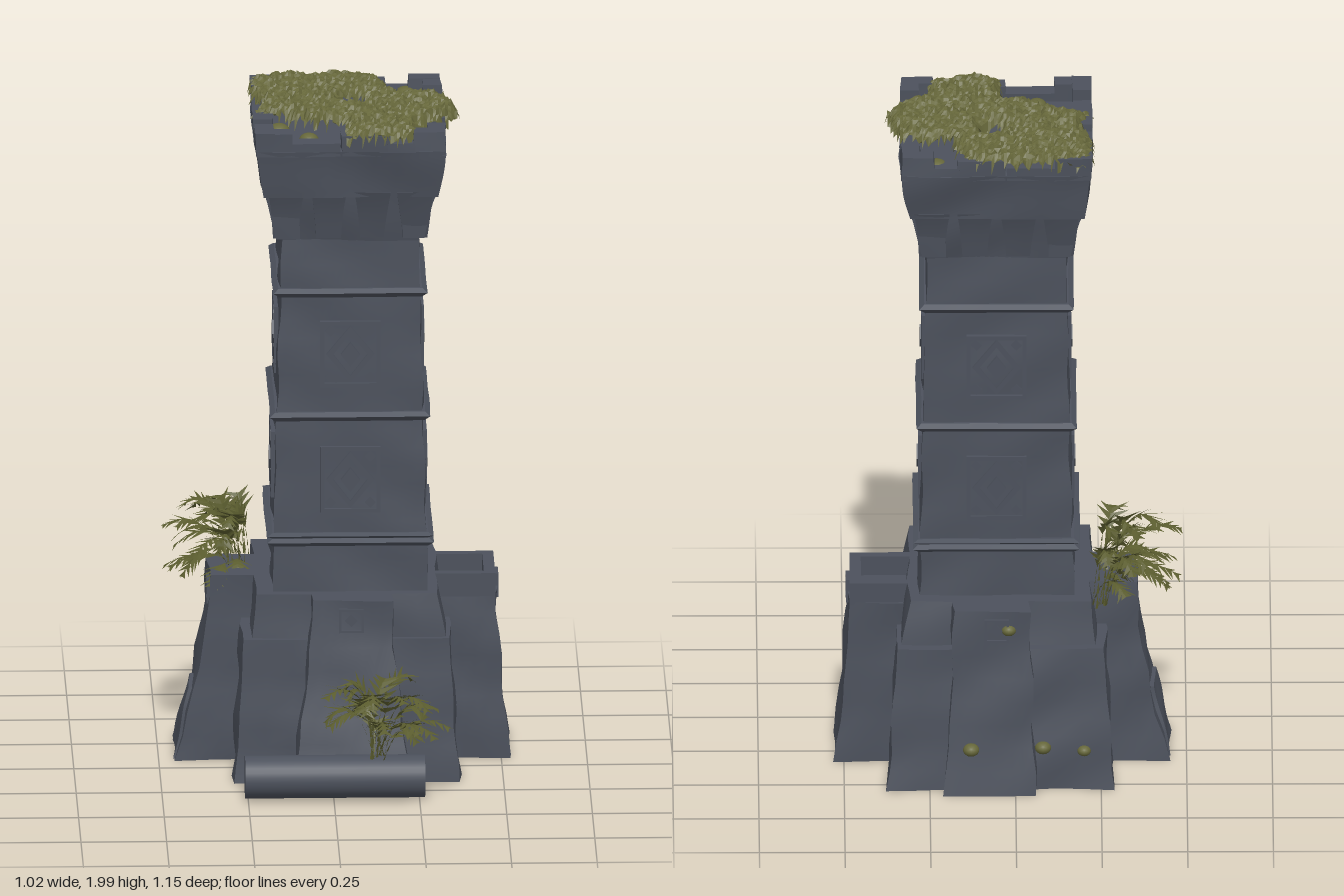
import * as THREE from 'three';
import { mergeGeometries } from 'three/addons/utils/BufferGeometryUtils.js';

const mat = (name, color, side = THREE.FrontSide) => {
  const m = new THREE.MeshStandardMaterial({ color, side });
  m.name = name;
  return m;
};
const CX = 0.055, CZ = -0.158; // tower axis
const lerp = THREE.MathUtils.lerp;

function seeded(s) {
  return () => ((s = (s * 16807) % 2147483647) - 1) / 2147483646;
}
// smooth wobble that weathers the masonry
const wobble = (x, y, z) =>
  Math.sin(x * 19 + y * 13 + 1) * Math.sin(z * 21 - y * 9) + 0.6 * Math.sin(y * 27 + x * 8 - z * 11);

// tapered block: rects are [x0, x1, z0, z1] at bottom and top
function block(y0, y1, b, t = b, { seg = 8, flare = 1, wear = 0.004 } = {}) {
  const g = new THREE.BoxGeometry(1, 1, 1, seg, seg, seg);
  const p = g.attributes.position;
  for (let i = 0; i < p.count; i++) {
    const u = p.getX(i) + 0.5, v = p.getY(i) + 0.5, w = p.getZ(i) + 0.5;
    const k = 1 - Math.pow(1 - v, flare);
    const r = b.map((a, j) => lerp(a, t[j], k));
    const x = lerp(r[0], r[1], u), y = lerp(y0, y1, v), z = lerp(r[2], r[3], w);
    const n = wear * wobble(x, y, z);
    p.setXYZ(i, x + n * (u - 0.5) * 2, y, z + n * (w - 0.5) * 2);
  }
  g.computeVertexNormals();
  return g;
}
const rect = (hx, hz) => [CX - hx, CX + hx, CZ - hz, CZ + hz];

// flat polygon ring or plate, n corners given by half sizes
const outline = (C, w, h, diamond) => {
  const s = new C();
  const pts = diamond ? [[w, 0], [0, h], [-w, 0], [0, -h]] : [[w, h], [-w, h], [-w, -h], [w, -h]];
  s.setFromPoints(pts.map(([x, y]) => new THREE.Vector2(x, y)));
  return s;
};
function ring(w, h, t, diamond, depth = 0.016) {
  const s = outline(THREE.Shape, w, h, diamond);
  if (t > 0) s.holes.push(outline(THREE.Path, w - t, h - t, diamond));
  return new THREE.ExtrudeGeometry(s, { depth, bevelEnabled: false });
}

// spiky frond along a drooping arc
function frond(out, a, b, c, rnd) {
  const curve = new THREE.QuadraticBezierCurve3(a, b, c);
  const N = 11, up = new THREE.Vector3(0, 1, 0);
  const tri = (...v) => v.forEach(q => out.push(q.x, q.y, q.z));
  for (let i = 0; i < N; i++) {
    const t = i / N, p = curve.getPoint(t), q = curve.getPoint((i + 1) / N);
    const tan = curve.getTangent(t + 0.5 / N);
    const side = new THREE.Vector3().crossVectors(tan, up).normalize();
    const w = side.clone().multiplyScalar(0.004);
    tri(p.clone().sub(w), p.clone().add(w), q);
    if (t < 0.3) continue;
    const len = 0.062 * Math.sin(Math.PI * (0.25 + 0.68 * (t - 0.3) / 0.7)) * (0.8 + 0.4 * rnd());
    for (const s of [-1, 1]) {
      const tip = p.clone().addScaledVector(side, s * len * 0.72).addScaledVector(tan, len * 0.85);
      tip.y -= len * 0.3 * rnd();
      tri(p, tip, p.clone().addScaledVector(tan, 0.022));
    }
  }
}
function plant(seed, root, centre, rx, ry, rz, n) {
  const rnd = seeded(seed), out = [];
  for (let i = 0; i < n; i++) {
    const a = i * 2.4, r = 0.45 + 0.55 * Math.sqrt(rnd());
    const o = new THREE.Vector3(root[0] + (rnd() - 0.5) * 0.05, root[1], root[2] + (rnd() - 0.5) * 0.04);
    const tip = new THREE.Vector3(centre[0] + Math.cos(a) * rx * r,
      centre[1] + (rnd() * 2 - 1) * ry, centre[2] + Math.sin(a) * rz * r);
    const mid = o.clone().lerp(tip, 0.4);
    mid.y = Math.max(o.y, tip.y) + 0.05 + 0.09 * rnd();
    frond(out, o, mid, tip, rnd);
  }
  const g = new THREE.BufferGeometry();
  g.setAttribute('position', new THREE.Float32BufferAttribute(out, 3));
  g.computeVertexNormals();
  return g;
}

// lumpy moss sheet clipped to an outline
function mossSheet(pts, hole) {
  const rnd = seeded(77);
  const g = new THREE.PlaneGeometry(0.66, 0.7, 72, 76).rotateX(-Math.PI / 2).translate(0.07, 0, -0.16);
  const p = g.attributes.position, depth = [];
  const poly = new THREE.SplineCurve([...pts, pts[0]].map(q => new THREE.Vector2(...q))).getPoints(110);
  for (let i = 0; i < p.count; i++) {
    const x = p.getX(i), z = p.getZ(i);
    let inside = false, d = 9;
    poly.forEach((a, j) => {
      const b = poly[(j + 1) % poly.length];
      if ((a.y > z) !== (b.y > z) && x < (b.x - a.x) * (z - a.y) / (b.y - a.y) + a.x) inside = !inside;
      d = Math.min(d, Math.hypot(a.x - x, a.y - z));
    });
    const h = Math.hypot((x - hole[0]) / 0.8, z - hole[1]) - hole[2];
    d = Math.min(inside ? d : -d, h) + (rnd() - 0.5) * 0.012;
    depth.push(d);
    const k = THREE.MathUtils.clamp(d / 0.03, 0, 1);
    p.setY(i, 1.925 + 0.047 * Math.sqrt(k) + 0.006 * Math.sin(x * 40) * Math.sin(z * 37) + 0.016 * rnd());
  }
  const idx = [...g.index.array], keep = [];
  for (let i = 0; i < idx.length; i += 3) {
    const f = idx.slice(i, i + 3);
    if (f.every(v => depth[v] > -0.004)) keep.push(...f);
  }
  g.setIndex(keep);
  const flat = g.toNonIndexed();
  flat.computeVertexNormals();
  return flat;
}

export function createModel() {
  const model = new THREE.Group();
  const stone = mat('slate stone', 0x4c515c);
  const moss = mat('olive moss', 0x66673a, THREE.DoubleSide);
  const leaf = mat('dark olive leaf', 0x5a5c2e, THREE.DoubleSide);
  const add = (name, g, m = stone, parent = model) => {
    const mesh = new THREE.Mesh(g, m);
    mesh.name = name;
    parent.add(mesh);
    return mesh;
  };

  // battered base with four buttresses
  add('baseBlock', block(0, 0.43, [-0.285, 0.37, -0.54, 0.165], [-0.26, 0.345, -0.5, 0.14], { wear: 0.007 }));
  add('baseUpperTier', block(0.42, 0.56, [-0.235, 0.335, -0.47, 0.125], [-0.22, 0.31, -0.45, 0.115]));
  const b = { flare: 1.5, wear: 0.006 };
  add('frontButtress', block(0, 0.56, [-0.12, 0.23, -0.1, 0.28], [-0.06, 0.17, -0.1, 0.185], b));
  add('backButtress', block(0, 0.56, [-0.06, 0.21, -0.585, -0.2], [-0.04, 0.18, -0.525, -0.2], b));
  add('leftButtress', block(0, 0.5, [0.2, 0.525, -0.325, -0.075], [0.2, 0.485, -0.315, -0.085], b));
  add('rightButtress', block(0, 0.56, [-0.45, 0, -0.325, -0.075], [-0.35, 0, -0.305, -0.09], b));
  add('rightButtressFoot', block(0, 0.21, [-0.455, -0.2, -0.29, -0.1], [-0.41, -0.2, -0.27, -0.12]));
  add('leftButtressFoot', block(0, 0.2, [0.3, 0.528, -0.25, -0.1], [0.3, 0.495, -0.24, -0.11]));
  // rim of the hollow on the left buttress
  for (const r of [[0.45, 0.483, -0.315, -0.085], [0.29, 0.46, -0.315, -0.285], [0.29, 0.46, -0.115, -0.085]])
    add('basinRim', block(0.49, 0.56, r, r, { seg: 2, wear: 0 }));

  // shaft with string courses
  add('shaft', block(0.55, 1.66, rect(0.226, 0.244), rect(0.2, 0.227), { seg: 20, wear: 0.004 }));
  const shaftAt = (y, a, c) => lerp(a, c, (y - 0.55) / 1.11);
  [[0.712, 0.014], [0.732, 0.01], [1.093, 0.016], [1.468, 0.016]].forEach(([y, h]) => {
    const x = shaftAt(y, 0.226, 0.2), z = shaftAt(y, 0.244, 0.227);
    add('stringCourse', block(y - h, y, rect(x + 0.004, z + 0.004), rect(x + 0.021, z + 0.021), { wear: 0.001 }));
    add('stringCourse', block(y, y + h * 0.7, rect(x + 0.021, z + 0.021), rect(x + 0.006, z + 0.006), { wear: 0.001 }));
  });

  // corbelled crown
  add('corbelCore', block(1.62, 1.8, rect(0.2, 0.227), rect(0.235, 0.262)));
  add('crownBand', block(1.77, 1.915, rect(0.255, 0.282), rect(0.28, 0.306), { wear: 0.005 }));
  const parapet = (r, top) => add('parapet', block(1.9, top, r, r, { seg: 3, wear: 0.003 }));
  const hx = 0.279, hz = 0.304, th = 0.055;
  for (const s of [-1, 1]) {
    const side = (c, h, a, d) => [c + Math.min(s * h, s * (h - th)), c + Math.max(s * h, s * (h - th)), a, d];
    for (const [a, d, top] of [[-1, -0.62, 1.97], [-0.62, -0.1, 1.94], [-0.1, 0.4, 1.962], [0.4, 0.66, 1.94], [0.66, 1, 1.972]]) {
      parapet(side(CX, hx, CZ + a * hz, CZ + d * hz), top);
      const f = side(CZ, hz, CX + a * hx, CX + d * hx);
      parapet([f[2], f[3], f[0], f[1]], top);
    }
  }

  // carved details repeated on the four faces
  const tile = mergeGeometries([ring(0.088, 0.1, 0.012, false), ring(0.07, 0.085, 0.02, true),
    ring(0.028, 0.036, 0, true, 0.02)]);
  const corner = ring(0.016, 0.016, 0, true, 0.014);
  const rosette = mergeGeometries([ring(0.036, 0.036, 0.007, false), ring(0.018, 0.018, 0, true)]);
  const reach = [0.185 - CZ, 0.485 - CX, 0.525 + CZ + 2 * -CZ - 0.158 + 0.158 + CZ, 0.35 + CX];
  reach[2] = 0.525 + CZ;
  for (let i = 0; i < 4; i++) {
    const face = new THREE.Group();
    face.name = 'carvedFace';
    face.position.set(CX, 0, CZ);
    face.rotation.y = i * Math.PI / 2;
    model.add(face);
    const onZ = i % 2 === 0;
    const put = (name, g, x, y, z) => add(name, g, stone, face).position.set(x, y, z);
    for (const y of [0.9, 1.28]) {
      const d = onZ ? shaftAt(y, 0.244, 0.227) : shaftAt(y, 0.226, 0.2);
      put('carvedPanel', tile, 0, y, d - 0.006);
      for (const sx of [-1, 1]) for (const sy of [-1, 1]) put('panelCorner', corner, sx * 0.058, y + sy * 0.07, d - 0.006);
    }
    put('rosette', rosette, (i === 1 ? 0.04 : 0), 0.5, reach[i] - 0.007);
    // brackets under the crown
    const w = onZ ? 0.225 : 0.25, d = onZ ? 0.227 : 0.2;
    for (let k = 0; k < 4; k++) {
      const x = (k - 1.5) * w * 0.56, o = w * 0.2;
      const g = block(1.635, 1.785, [x - o * 0.8, x + o * 0.8, d - 0.05, d + 0.016],
        [x - o * 1.15, x + o * 1.15, d - 0.05, d + 0.056], { seg: 4, flare: 0.8, wear: 0.002 });
      add('bracket', g, stone, face);
    }
  }

  // fallen column
  const column = add('fallenColumn', new THREE.CylinderGeometry(0.063, 0.063, 0.525, 28));
  column.rotation.z = Math.PI / 2;
  column.position.set(0.003, 0.07, 0.333);

  // moss
  add('roofMoss', mossSheet([[-0.23, -0.46], [-0.1, -0.48], [0.1, -0.475], [0.17, -0.41], [0.2, -0.3], [0.33, -0.28],
    [0.375, -0.16], [0.36, -0.06], [0.27, 0.02], [0.25, 0.13], [0.15, 0.16], [0.03, 0.14], [0.04, 0.02], [-0.05, -0.02],
    [-0.14, -0.08], [-0.23, -0.1], [-0.2, -0.2], [-0.23, -0.3]], [0.07, -0.22, 0.04]), moss);
  for (const [x, y, z, r] of [[0.23, 1.92, -0.41, 0.035], [-0.15, 1.92, -0.045, 0.034], [-0.065, 1.92, 0.045, 0.03],
    [0.31, 1.935, 0.02, 0.02], [-0.08, 0.13, -0.53, 0.024], [0.13, 0.14, -0.57, 0.024], [0.02, 0.5, -0.522, 0.022], [-0.2, 0.12, -0.53, 0.02]]) {
    const m = add('mossTuft', new THREE.IcosahedronGeometry(r, 2), moss);
    m.position.set(x, y, z);
    m.scale.y = 0.8;
  }

  // ferns
  add('frontFern', plant(11, [0.13, 0.12, 0.34], [0.15, 0.27, 0.41], 0.2, 0.09, 0.17, 22), leaf);
  add('sideFern', plant(23, [-0.27, 0.55, -0.21], [-0.37, 0.62, -0.18], 0.14, 0.11, 0.12, 13), leaf);
  add('sideFern', plant(41, [-0.25, 0.5, -0.35], [-0.355, 0.6, -0.39], 0.13, 0.08, 0.12, 12), leaf);
  return model;
}
